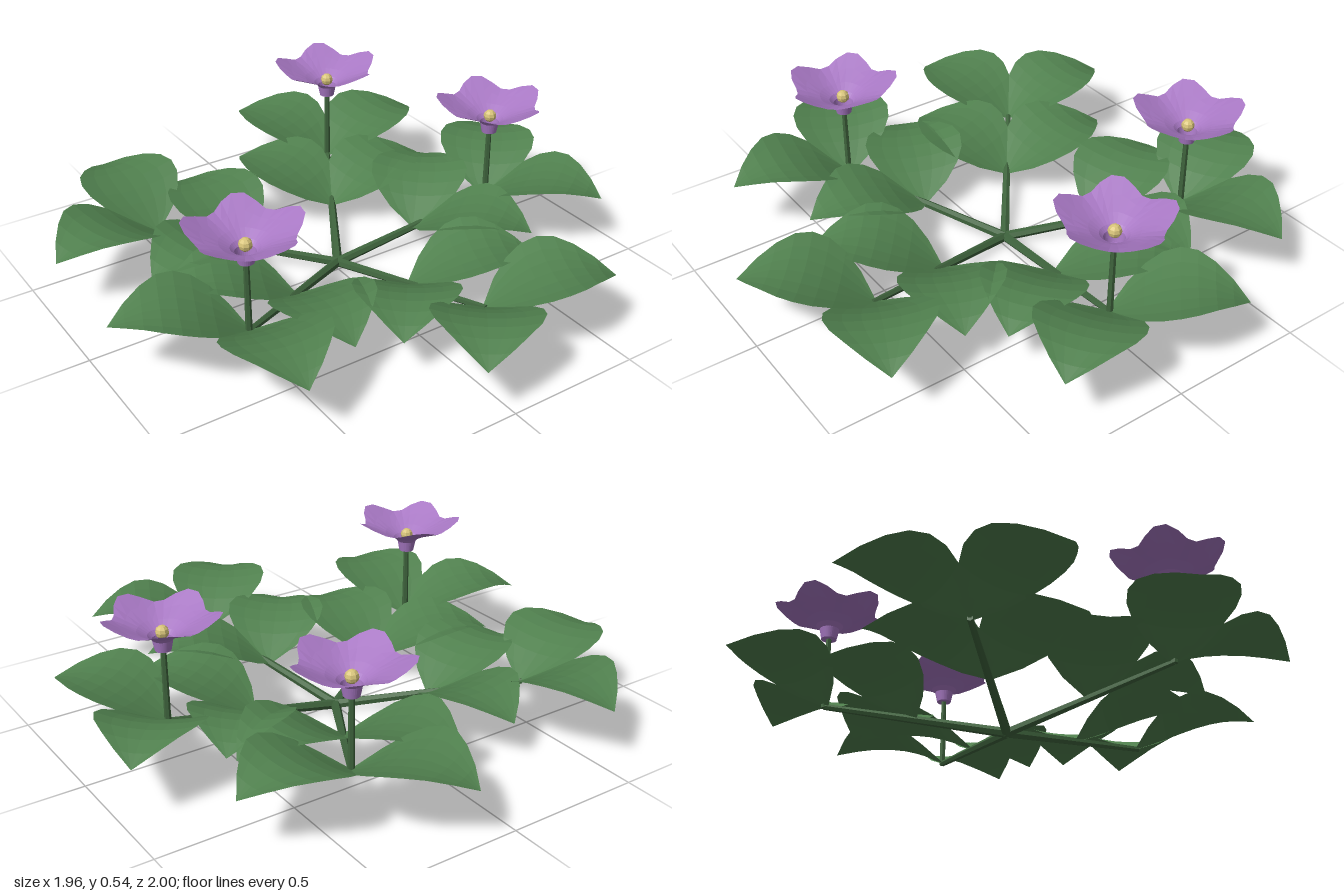
import * as THREE from 'three';

const mat = (name, color) => new THREE.MeshStandardMaterial({ name, color, flatShading: true, side: THREE.DoubleSide });

// Surface grid from a function of u and v, upper side in front
function surface(nu, nv, f) {
  const pos = [], idx = [];
  for (let i = 0; i <= nu; i++) for (let j = 0; j <= nv; j++) pos.push(...f(i / nu, j / nv));
  for (let i = 0; i < nu; i++) for (let j = 0; j < nv; j++) {
    const a = i * (nv + 1) + j, b = a + nv + 1;
    idx.push(a, a + 1, b + 1, a, b + 1, b);
  }
  const g = new THREE.BufferGeometry();
  g.setAttribute('position', new THREE.Float32BufferAttribute(pos, 3));
  g.setIndex(idx);
  g.computeVertexNormals();
  return g;
}

// Linear lookup in evenly spaced values
function sample(list, t) {
  const k = Math.min(t * (list.length - 1), list.length - 1.0001), i = Math.floor(k);
  return list[i] + (list[i + 1] - list[i]) * (k - i);
}

// Broad pointed leaf that arches along its length and cups across
function leafGeometry() {
  const width = [0.008, 0.095, 0.15, 0.18, 0.186, 0.168, 0.125, 0.07, 0];
  const rise = [0, 0.035, 0.07, 0.097, 0.116, 0.124, 0.12, 0.104, 0.078];
  return surface(8, 6, (u, v) => {
    const s = v * 2 - 1, w = sample(width, u);
    return [0.46 * u, sample(rise, u) + 0.028 * s * s * (w / 0.186), s * w];
  });
}

// Trumpet flower with five lobes, ring by ring from the tube to the rim
function bloomGeometry() {
  const rings = [[0, 0.4], [0.028, 0.4], [0.036, 0.44], [0.05, 0.455], [0.085, 0.475], [0.135, 0.498], [0.185, 0.522]];
  const n = rings.length - 1;
  return surface(n, 30, (u, v) => {
    const [r, y] = rings[Math.round(u * n)];
    const a = v * Math.PI * 2, lobe = Math.cos(5 * (a - 0.08)), k = Math.max(0, (r - 0.05) / 0.135);
    const rad = r + 0.022 * lobe * k * k;
    return [Math.cos(a) * rad, y + 0.018 * lobe * k * k, Math.sin(a) * rad];
  });
}

// Tapered round stalk between two points
function stalk(from, to, r0, r1, material, name) {
  const dir = to.clone().sub(from);
  const m = new THREE.Mesh(new THREE.CylinderGeometry(r1, r0, dir.length(), 6), material);
  m.position.copy(from).addScaledVector(dir, 0.5);
  m.quaternion.setFromUnitVectors(new THREE.Vector3(0, 1, 0), dir.normalize());
  m.name = name;
  return m;
}

export function createModel() {
  const leafGreen = mat('leafGreen', 0x50804e);
  const stemGreen = mat('stemGreen', 0x3f643d);
  const petalPurple = mat('petalPurple', 0xa878c4);
  const pollenYellow = mat('pollenYellow', 0xd8c47a);

  const model = new THREE.Group();
  model.name = 'floweringPlant';
  const leafGeo = leafGeometry(), bloomGeo = bloomGeometry();
  const centreGeo = new THREE.SphereGeometry(0.024, 8, 6);
  const root = new THREE.Vector3(0.01, 0.018, -0.02);

  // Branch tips on the ground plan, and whether each carries a flower
  const branches = [
    [0.67, 0.03, true], [0.34, -0.59, true], [-0.53, -0.43, false],
    [-0.56, 0.31, true], [0.17, 0.64, false],
  ];

  for (const [x, z, flowering] of branches) {
    const branch = new THREE.Group();
    branch.name = 'branch';
    const tip = new THREE.Vector3(x, 0.13, z);
    branch.add(stalk(root, tip, 0.018, 0.011, stemGreen, 'stem'));
    const heading = Math.atan2(z - root.z, x - root.x);

    // A pair of leaves halfway along and another at the tip
    for (const t of [0.5, 0.985]) for (const side of [-1, 1]) {
      const leaf = new THREE.Mesh(leafGeo, leafGreen);
      leaf.name = 'leaf';
      leaf.position.lerpVectors(root, tip, t);
      leaf.rotation.y = -(heading + side * 0.91);
      branch.add(leaf);
    }

    // Flower on an upright stalk
    if (flowering) {
      const flower = new THREE.Group();
      flower.name = 'flower';
      flower.position.set(x, 0, z);
      const bloom = new THREE.Mesh(bloomGeo, petalPurple);
      bloom.name = 'petals';
      const centre = new THREE.Mesh(centreGeo, pollenYellow);
      centre.name = 'flowerCentre';
      centre.position.y = 0.465;
      flower.add(bloom, centre, stalk(
        new THREE.Vector3(0, 0.125, 0), new THREE.Vector3(0, 0.41, 0), 0.012, 0.01, stemGreen, 'flowerStalk'));
      branch.add(flower);
    }
    model.add(branch);
  }
  return model;
}
